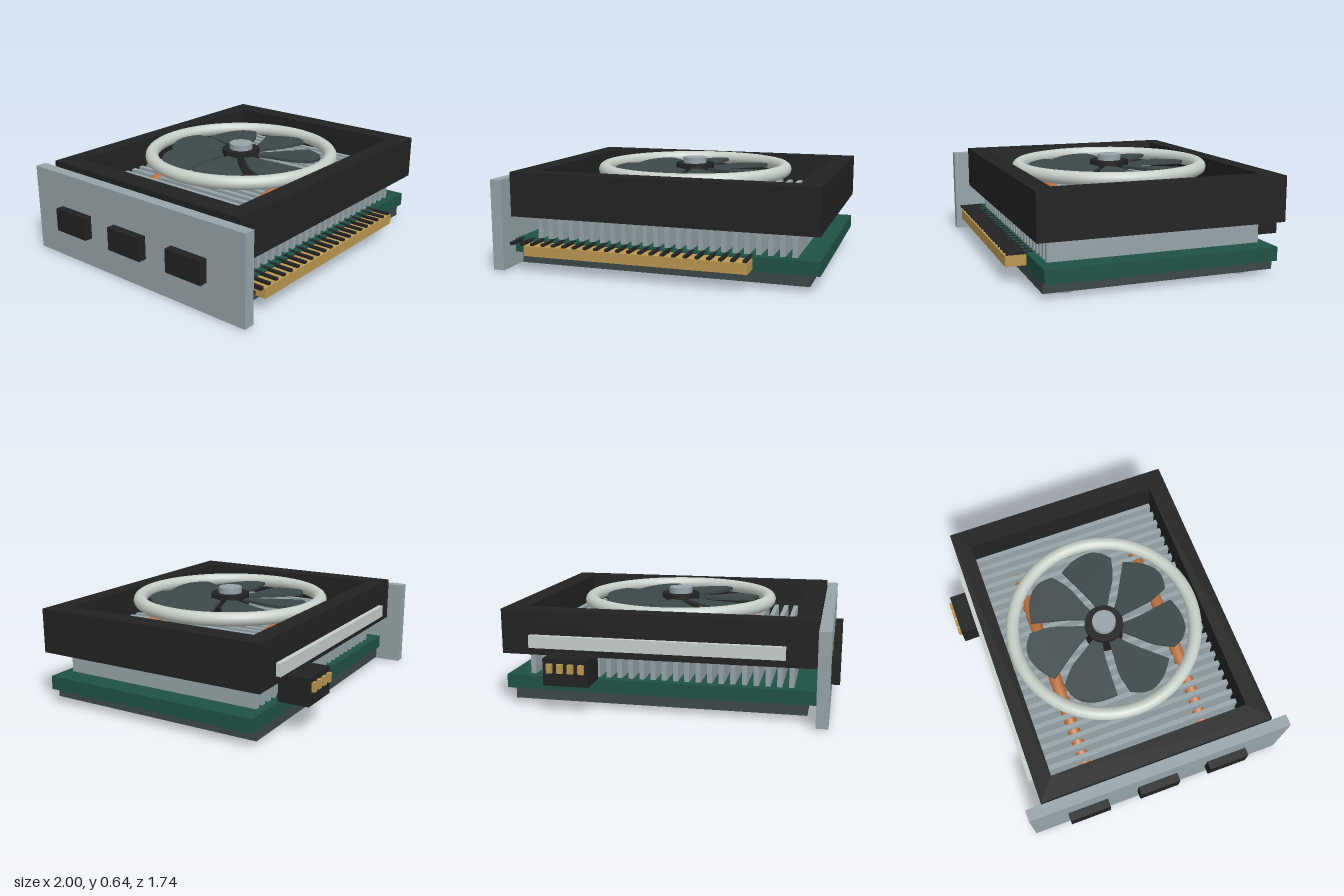
import * as THREE from 'three';

export function createModel() {
  const root = new THREE.Group();
  root.name = 'graphicsCard';

  const paint = (name, color) => {
    const m = new THREE.MeshStandardMaterial({ color });
    m.name = name;
    return m;
  };
  const black = paint('black plastic', 0x222222);
  const green = paint('board green', 0x1f5145);
  const gold = paint('contact gold', 0xba9650);
  const steel = paint('steel grey', 0x95a3a7);
  const slate = paint('dark slate', 0x3c4848);
  const copper = paint('copper', 0xb9703f);
  const pale = paint('pale trim', 0xc6cec8);

  const add = (name, geometry, material, parent = root) => {
    const mesh = new THREE.Mesh(geometry, material);
    mesh.name = name;
    parent.add(mesh);
    return mesh;
  };
  // Box given by its lower and upper limits on each axis
  const box = (name, material, [x0, x1], [y0, y1], [z0, z1], parent = root) => {
    const mesh = add(name, new THREE.BoxGeometry(x1 - x0, y1 - y0, z1 - z0), material, parent);
    mesh.position.set((x0 + x1) / 2, (y0 + y1) / 2, (z0 + z1) / 2);
    return mesh;
  };
  const group = (name) => {
    const g = new THREE.Group();
    g.name = name;
    root.add(g);
    return g;
  };

  // Circuit board, backplate and hexagonal screws underneath
  box('circuitBoard', green, [-0.875, 1], [0.095, 0.178], [-0.67, 0.73]);
  box('backplate', slate, [-0.825, 0.945], [0.032, 0.095], [-0.668, 0.728]);
  const screws = group('screws');
  for (const x of [-0.71, 0.835]) {
    for (const z of [-0.505, 0.57]) {
      add('screw', new THREE.CylinderGeometry(0.044, 0.044, 0.034, 6).toNonIndexed(), steel, screws)
        .position.set(x, 0.017, z);
    }
  }

  // Edge connector with dark dividers on top
  box('edgeConnector', gold, [-0.75, 0.62], [0.105, 0.168], [0.72, 0.852]);
  const dividers = group('connectorDividers');
  for (let i = 0; i < 22; i++) {
    const x = -0.837 + i * 0.0685;
    box('divider', black, [x - 0.011, x + 0.011], [0.163, 0.182], [0.69, 0.843], dividers);
  }

  // Mounting bracket and its ports
  box('bracket', steel, [-0.948, -0.877], [0.01, 0.56], [-0.815, 0.87]);
  const ports = group('ports');
  for (const z of [-0.45, 0.012, 0.475]) {
    box('port', black, [-1, -0.945], [0.2, 0.345], [z - 0.13, z + 0.13], ports);
  }

  // Power socket at the back
  box('powerSocket', black, [0.422, 0.695], [0.178, 0.34], [-0.853, -0.662]);
  const pins = group('powerPins');
  for (let i = 0; i < 4; i++) {
    const x = 0.46 + i * 0.0635;
    box('powerPin', gold, [x - 0.017, x + 0.017], [0.258, 0.312], [-0.873, -0.845], pins);
  }

  // Heatsink fins
  const fins = group('heatsinkFins');
  for (let i = 0; i < 24; i++) {
    const x = -0.727 + i * 0.0685;
    box('fin', steel, [x - 0.015, x + 0.015], [0.178, 0.42], [-0.62, 0.68], fins);
  }

  // Arched heat pipes
  const pipes = group('heatPipes');
  for (const z of [-0.375, 0.428]) {
    const curve = new THREE.QuadraticBezierCurve3(
      new THREE.Vector3(-0.69, 0.255, z),
      new THREE.Vector3(0.06, 0.625, z),
      new THREE.Vector3(0.81, 0.255, z));
    add('heatPipe', new THREE.TubeGeometry(curve, 32, 0.04, 12), copper, pipes);
    for (const t of [0, 1]) {
      const end = curve.getPoint(t);
      const outward = curve.getTangent(t).multiplyScalar(t ? 1 : -1);
      const cap = add('pipeEnd', new THREE.CircleGeometry(0.04, 12), copper, pipes);
      cap.position.copy(end);
      cap.quaternion.setFromUnitVectors(new THREE.Vector3(0, 0, 1), outward);
    }
  }

  // Shroud: rectangular frame, open above and below
  const rect = (target, x0, x1, z0, z1) => target.setFromPoints([
    new THREE.Vector2(x0, -z1), new THREE.Vector2(x1, -z1),
    new THREE.Vector2(x1, -z0), new THREE.Vector2(x0, -z0), new THREE.Vector2(x0, -z1)]);
  const frame = rect(new THREE.Shape(), -0.875, 1, -0.715, 0.77);
  frame.holes.push(rect(new THREE.Path(), -0.742, 0.87, -0.605, 0.655));
  const shroud = add('shroud',
    new THREE.ExtrudeGeometry(frame, { depth: 0.272, bevelEnabled: false }), black);
  shroud.rotation.x = -Math.PI / 2;
  shroud.position.y = 0.323;
  box('rearTrim', pale, [-0.697, 0.823], [0.37, 0.446], [-0.745, -0.71]);

  // Fan: ring, hub, cap and seven swept blades
  const fan = group('fan');
  fan.position.set(0.06, 0, 0.025);
  const ring = add('fanRing', new THREE.TorusGeometry(0.583, 0.042, 16, 64), pale, fan);
  ring.rotation.x = Math.PI / 2;
  ring.position.y = 0.567;
  add('fanHub', new THREE.CylinderGeometry(0.123, 0.123, 0.18, 32), black, fan).position.y = 0.51;
  add('fanCap', new THREE.CylinderGeometry(0.075, 0.075, 0.045, 24), steel, fan).position.y = 0.615;

  const v = (x, y) => new THREE.Vector2(x, y);
  const outline = new THREE.Shape();
  outline.moveTo(0.03, 0.1);
  outline.splineThru([v(0.06, 0.2), v(0.1, 0.33), v(0.105, 0.46)]);
  outline.splineThru([v(0.04, 0.505), v(-0.04, 0.518), v(-0.14, 0.48), v(-0.225, 0.41)]);
  outline.splineThru([v(-0.16, 0.32), v(-0.075, 0.2), v(-0.02, 0.1)]);
  const bladeShape = new THREE.ExtrudeGeometry(outline,
    { depth: 0.018, bevelEnabled: false, curveSegments: 5 });
  bladeShape.rotateX(-Math.PI / 2);
  // Pitch each blade slightly across its width
  const p = bladeShape.attributes.position;
  for (let i = 0; i < p.count; i++) p.setY(i, p.getY(i) + 0.08 * (p.getX(i) + 0.05));
  bladeShape.computeVertexNormals();
  for (let i = 0; i < 7; i++) {
    const blade = add('fanBlade', bladeShape, slate, fan);
    blade.position.y = 0.55;
    blade.rotation.y = (i / 7) * Math.PI * 2;
  }

  return root;
}
